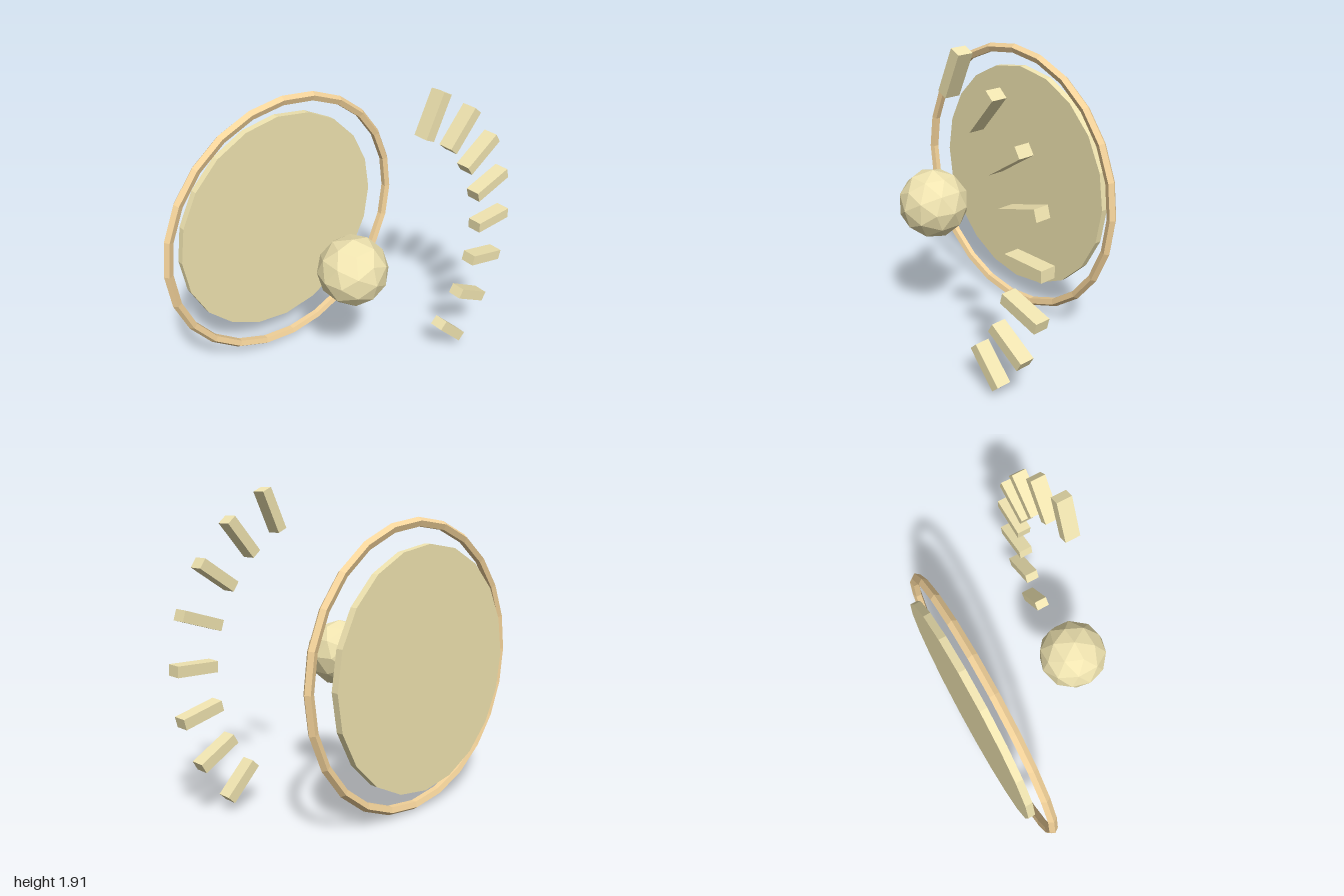
import * as THREE from 'three';

const CX = -0.13, CY = 0.875;

export function createModel() {
  const model = new THREE.Group();
  const cream = new THREE.MeshStandardMaterial({ color: 0xf0e4b0, flatShading: true });
  const tan = new THREE.MeshStandardMaterial({ color: 0xf5d49b, flatShading: true });

  const add = (name, geometry, material, x, y, z) => {
    const mesh = new THREE.Mesh(geometry, material);
    mesh.name = name;
    mesh.position.set(x, y, z);
    model.add(mesh);
    return mesh;
  };

  // Back disc, facing front
  const disc = new THREE.CylinderGeometry(0.725, 0.725, 0.044, 20).rotateX(Math.PI / 2);
  add('disc', disc, cream, CX, CY, -0.446);

  // Thin faceted rim
  add('rim', new THREE.TorusGeometry(0.842, 0.029, 5, 24), tan, CX, CY, -0.376);

  // Faceted ball floating in front
  add('ball', new THREE.IcosahedronGeometry(0.209, 1), cream, CX, CY + 0.003, 0.259);

  // Fan of eight radial bars
  const bar = new THREE.BoxGeometry(0.265, 0.065, 0.091);
  for (let i = 0; i < 8; i++) {
    const a = THREE.MathUtils.degToRad(-45 + (110 * i) / 7);
    const r = 0.995;
    const mesh = add(`ray${i + 1}`, bar, cream, CX + r * Math.cos(a), CY + r * Math.sin(a), 0.411);
    mesh.rotation.z = a;
  }
  return model;
}
